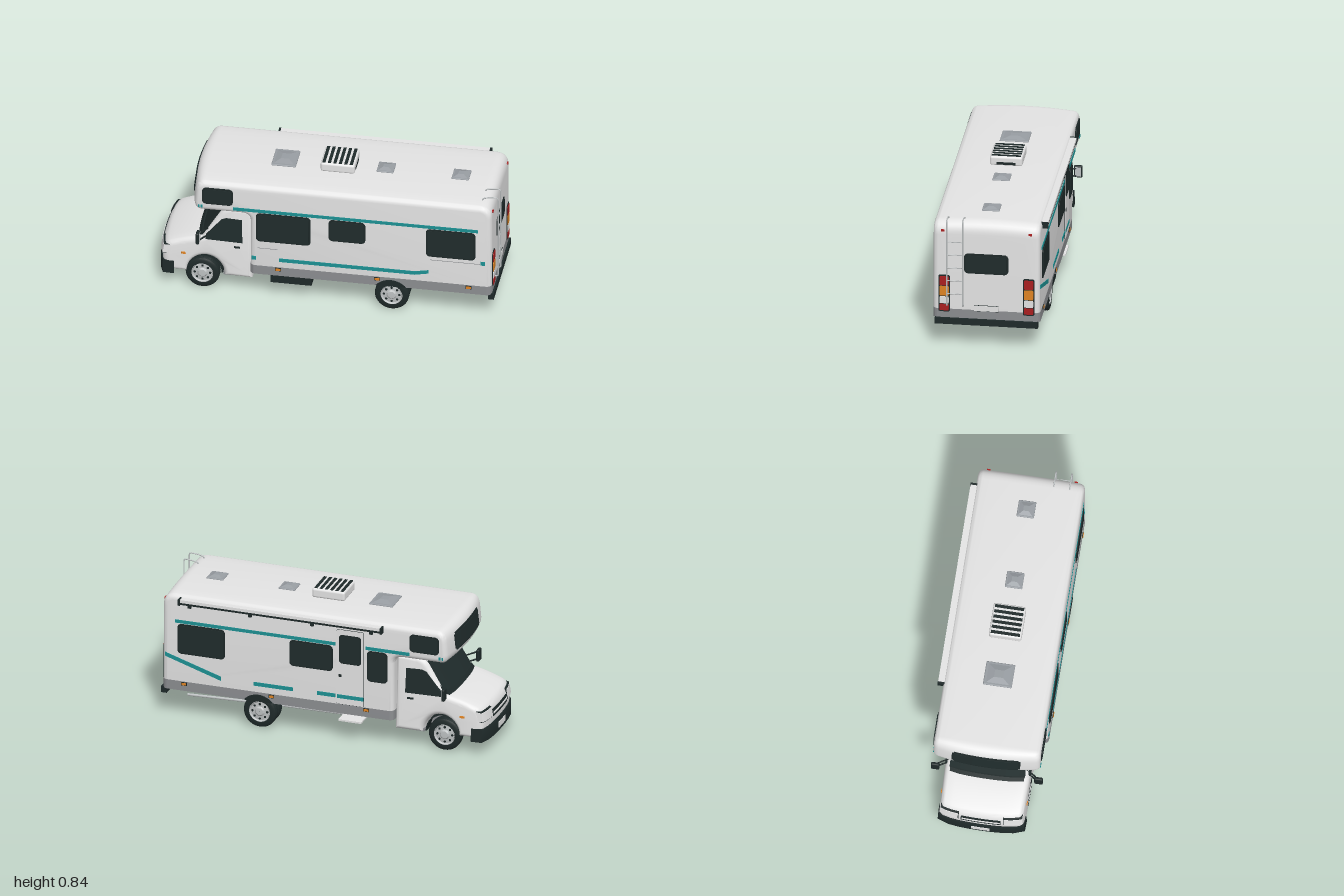
import * as THREE from 'three';
import { toCreasedNormals } from 'three/addons/utils/BufferGeometryUtils.js';
import { RoundedBoxGeometry } from 'three/addons/geometries/RoundedBoxGeometry.js';

const mat = (name, color) => Object.assign(new THREE.MeshStandardMaterial({ color }), { name });
const M = {
  white: mat('white shell', 0xe4e4e4), grey: mat('grey skirt', 0x8c8e91), dark: mat('dark trim', 0x1e2929),
  glass: mat('tinted glass', 0x202c2c), teal: mat('teal stripe', 0x1d9294), red: mat('red lamp', 0xab1f20),
  orange: mat('orange lamp', 0xe08424), chrome: mat('bright metal', 0xbec2c3), vent: mat('vent grey', 0x989da2),
};
const W = 0.311, CAB = 0.272;   // half widths of the living box and the cab

export function createModel() {
  const root = new THREE.Group(); root.name = 'motorhome';
  const van = new THREE.Group(); van.name = 'vehicle'; van.position.z = 0.01; root.add(van);

  const add = (name, geo, m, parent = van) => {
    const mesh = new THREE.Mesh(geo, M[m]); mesh.name = name; parent.add(mesh); return mesh;
  };
  // box given by its low and high corners
  const box = (name, m, x0, x1, y0, y1, z0, z1, r = 0) => {
    const s = [x1 - x0, y1 - y0, z1 - z0];
    const mesh = add(name, r ? new RoundedBoxGeometry(...s, 3, r) : new THREE.BoxGeometry(...s), m);
    mesh.position.set((x0 + x1) / 2, (y0 + y1) / 2, (z0 + z1) / 2); return mesh;
  };
  const poly = pts => new THREE.Shape(pts.map(p => new THREE.Vector2(...p)));
  const roundRect = (x0, x1, y0, y1, r) => {
    const s = new THREE.Shape();
    s.absarc(x1 - r, y1 - r, r, 0, Math.PI / 2); s.absarc(x0 + r, y1 - r, r, Math.PI / 2, Math.PI);
    s.absarc(x0 + r, y0 + r, r, Math.PI, Math.PI * 1.5); s.absarc(x1 - r, y0 + r, r, Math.PI * 1.5, Math.PI * 2);
    return s;
  };
  // side profile spanning z0..z1, with rounded outer edges and an optional bend
  const prism = (shape, z0, z1, bevel = 0, bend = null, steps = 10) => {
    const g = new THREE.ExtrudeGeometry(shape, {
      depth: z1 - z0 - 2 * bevel, steps, curveSegments: 8, bevelEnabled: bevel > 0,
      bevelSize: bevel, bevelThickness: bevel, bevelOffset: -bevel, bevelSegments: 5,
    });
    g.translate(0, 0, z0 + bevel);
    if (bend) {
      const p = g.attributes.position;
      for (let i = 0; i < p.count; i++) p.setXYZ(i, ...bend(p.getX(i), p.getY(i), p.getZ(i)));
    }
    return toCreasedNormals(g, 0.6);
  };
  // thin plate on a side wall
  const plate = (name, m, shape, side, d = 0.003) => {
    const z = side > 0 ? W - 0.002 : -W - d;
    return add(name, prism(shape, z, z + d + 0.002, 0, null, 1), m);
  };
  const rect = (x0, x1, y0, y1) => poly([[x0, y0], [x1, y0], [x1, y1], [x0, y1]]);
  const sideWindow = (x0, x1, y0, y1, side) => {
    plate('windowFrame', 'dark', roundRect(x0, x1, y0, y1, 0.025), side, 0.004);
    plate('windowGlass', 'glass', roundRect(x0 + 0.01, x1 - 0.01, y0 + 0.01, y1 - 0.01, 0.018), side, 0.007);
  };
  // plate on the rear wall, its first axis running along -z
  const REAR = 0.967;
  const rearPlate = (name, m, z0, z1, y0, y1, r, d = 0.004) => {
    const mesh = add(name, prism(roundRect(z0, z1, y0, y1, r), -0.004, d, 0, null, 1), m);
    mesh.rotation.y = Math.PI / 2; mesh.position.x = REAR;
  };
  const tube = (name, m, pts, r, n = 40) => add(name, new THREE.TubeGeometry(
    new THREE.CatmullRomCurve3(pts.map(p => new THREE.Vector3(...p)), false, 'catmullrom', 0.15), n, r, 8), m);

  // Living box with sleeping alcove: crowned roof, bowed front
  const b = new THREE.Shape();
  b.moveTo(-0.445, 0.185); b.lineTo(-0.445, 0.53); b.quadraticCurveTo(-0.447, 0.573, -0.5, 0.573);
  b.lineTo(-0.745, 0.573); b.quadraticCurveTo(-0.802, 0.573, -0.802, 0.63);
  b.lineTo(-0.792, 0.71); b.quadraticCurveTo(-0.785, 0.78, -0.715, 0.78);
  b.lineTo(0.89, 0.78); b.quadraticCurveTo(0.967, 0.78, 0.967, 0.70); b.lineTo(0.967, 0.185);
  const { clamp } = THREE.MathUtils;
  const crown = (x, y, z) => [x + 0.35 * z * z * clamp((-0.7 - x) / 0.1, 0, 1), y - 0.12 * z * z * clamp((y - 0.6) / 0.15, 0, 1), z];
  add('livingBox', prism(b, -W, W, 0.03, crown), 'white');
  const skirt = add('skirt', prism(roundRect(-0.446, 0.968, -W - 0.001, W + 0.001, 0.03), 0.172, 0.23, 0, null, 1), 'grey');
  skirt.rotation.x = -Math.PI / 2;

  // Cab, narrowing towards nose and roof, with a bowed front
  const taper = (x, y, z) => {
    const t = (-0.445 - x) / 0.55;
    const w = z * (1 - 0.08 * t) * (1 - 0.23 * (y - 0.105));
    return [x + (0.25 * w ** 2 + 70 * w ** 6) * clamp(t * 1.5, 0, 1), y, w];
  };
  const c = new THREE.Shape();
  c.moveTo(-0.985, 0.105); c.lineTo(-0.99, 0.2); c.quadraticCurveTo(-0.988, 0.275, -0.945, 0.292);
  c.quadraticCurveTo(-0.85, 0.33, -0.755, 0.345); c.lineTo(-0.645, 0.515);
  c.quadraticCurveTo(-0.615, 0.558, -0.56, 0.56); c.lineTo(-0.44, 0.56); c.lineTo(-0.44, 0.105);
  c.lineTo(-0.617, 0.105); c.absarc(-0.735, 0.105, 0.118, 0, Math.PI, false);
  add('cab', prism(c, -CAB, CAB, 0.028, taper), 'white');
  const cabPart = (name, m, shape, z0, z1) => add(name, prism(shape, z0, z1, 0, taper, 8), m);
  cabPart('windshield', 'glass', poly([[-0.752, 0.355], [-0.74, 0.355], [-0.625, 0.532], [-0.637, 0.535]]), -0.245, 0.245);
  cabPart('wiperCowl', 'dark', poly([[-0.775, 0.34], [-0.745, 0.345], [-0.745, 0.362], [-0.755, 0.362]]), -0.24, 0.24);
  cabPart('bumper', 'dark', poly([[-1, 0.085], [-0.935, 0.085], [-0.935, 0.165], [-0.995, 0.165], [-1, 0.155]]), -0.276, 0.276);
  cabPart('grille', 'dark', poly([[-0.994, 0.2], [-0.97, 0.2], [-0.97, 0.242], [-0.989, 0.242]]), -0.13, 0.13);
  cabPart('grilleBar', 'white', rect(-0.996, -0.98, 0.217, 0.226), -0.125, 0.125);
  cabPart('frontPlate', 'white', rect(-1.003, -0.99, 0.105, 0.14), -0.06, 0.06);
  // underside of the cab, split around the wheel wells
  box('cabFloor', 'grey', -0.94, -0.43, 0.1, 0.24, -0.16, 0.16);
  box('noseFloor', 'grey', -0.955, -0.86, 0.102, 0.12, -0.22, 0.22);
  box('footwellFloor', 'grey', -0.612, -0.445, 0.102, 0.12, -0.245, 0.245);
  const liner = new THREE.Shape();
  liner.absarc(-0.735, 0.105, 0.119, 0, Math.PI, false); liner.absarc(-0.735, 0.105, 0.112, Math.PI, 0, true);
  add('frontWheelWell', prism(liner, -0.235, 0.235, 0, null, 1), 'dark');
  for (const s of [1, -1]) {
    const span = (a, z) => s > 0 ? [a, z] : [-z, -a];
    cabPart('headlightFrame', 'dark', poly([[-0.993, 0.206], [-0.945, 0.21], [-0.945, 0.272], [-0.984, 0.268]]), ...span(0.145, 0.268));
    cabPart('headlight', 'white', poly([[-0.997, 0.211], [-0.949, 0.215], [-0.949, 0.267], [-0.988, 0.263]]), ...span(0.15, 0.271));
    cabPart('cabWindow', 'glass', poly([[-0.742, 0.337], [-0.505, 0.337], [-0.508, 0.488], [-0.61, 0.49], [-0.64, 0.478], [-0.735, 0.365]]),
      ...span(CAB - 0.01, CAB + 0.004));
    cabPart('cabHandle', 'dark', rect(-0.56, -0.52, 0.3, 0.31), ...span(CAB - 0.005, CAB + 0.006));
    cabPart('sideMarker', 'orange', rect(-0.89, -0.865, 0.222, 0.234), ...span(CAB - 0.005, CAB + 0.005));
    // door mirrors
    box('mirror', 'dark', -0.762, -0.742, 0.342, 0.416, s * 0.302 - 0.025, s * 0.302 + 0.025, 0.008);
    box('mirrorGlass', 'chrome', -0.743, -0.74, 0.35, 0.408, s * 0.302 - 0.018, s * 0.302 + 0.018);
    for (const y of [0.355, 0.4]) tube('mirrorArm', 'dark', [[-0.7, y, s * 0.22], [-0.75, y, s * 0.3]], 0.005, 2);
  }

  // Side windows, stripes and lamps
  [[-0.41, -0.09, 0.4, 0.592, 1], [0.015, 0.23, 0.448, 0.592, 1], [-0.075, 0.19, 0.43, 0.592, -1],
    [-0.41, -0.285, 0.4, 0.592, -1]].forEach(a => sideWindow(...a));
  for (const s of [1, -1]) {
    sideWindow(0.585, 0.875, 0.405, 0.592, s);
    sideWindow(-0.725, -0.545, 0.625, 0.735, s);
    for (const x of [-0.75, -0.733]) plate('alcoveTick', 'teal', rect(x, x + 0.01, 0.597, 0.614), s);
    for (const x of [-0.28, 0.3, 0.835]) {
      plate('markerBase', 'dark', rect(x - 0.017, x + 0.017, 0.206, 0.226), s, 0.005);
      plate('markerLamp', 'orange', rect(x - 0.014, x + 0.014, 0.209, 0.223), s, 0.008);
    }
    // dark rear wheel arch
    const arch = new THREE.Shape(); arch.absarc(0.38, 0.1, 0.115, 0.68, Math.PI - 0.68);
    plate('wheelArch', 'dark', arch, s, 0.004);
  }
  plate('upperStripe', 'teal', rect(-0.545, 0.89, 0.596, 0.616), 1);
  plate('lowerStripe', 'teal', poly([[-0.275, 0.269], [0.52, 0.269], [0.6, 0.286], [0.6, 0.308], [0.52, 0.292], [-0.275, 0.292]]), 1);
  plate('stripeEnd', 'teal', rect(-0.435, -0.41, 0.269, 0.292), 1);
  plate('stripeEnd', 'teal', rect(0.905, 0.93, 0.375, 0.4), 1);
  plate('rearLockerSeam', 'grey', rect(0.61, 0.9, 0.379, 0.382), 1, 0.001);
  plate('frontLockerSeam', 'grey', rect(-0.4, -0.285, 0.35, 0.353), 1, 0.001);
  plate('upperStripe', 'teal', rect(-0.09, 0.89, 0.596, 0.616), -1);
  plate('upperStripe', 'teal', rect(-0.545, -0.275, 0.596, 0.616), -1);
  plate('diagonalStripe', 'teal', poly([[0.61, 0.269], [0.95, 0.378], [0.95, 0.402], [0.61, 0.295]]), -1);
  for (const [x0, x1] of [[0.17, 0.41], [-0.09, 0.02]]) plate('lowerStripe', 'teal', rect(x0, x1, 0.269, 0.292), -1);

  // Entrance door with step
  plate('doorGap', 'dark', roundRect(-0.267, -0.098, 0.231, 0.702, 0.012), -1, 0.002);
  plate('door', 'white', roundRect(-0.265, -0.1, 0.233, 0.7, 0.011), -1, 0.004);
  plate('doorStripe', 'teal', rect(-0.263, -0.102, 0.269, 0.292), -1, 0.006);
  plate('doorWindowFrame', 'dark', roundRect(-0.25, -0.115, 0.49, 0.67, 0.02), -1, 0.007);
  plate('doorWindow', 'glass', roundRect(-0.242, -0.123, 0.498, 0.662, 0.015), -1, 0.009);
  plate('doorHandle', 'dark', rect(-0.13, -0.112, 0.405, 0.42), -1, 0.008);
  box('doorStep', 'white', -0.25, -0.11, 0.124, 0.134, -0.315, -0.2);

  // Awning roll
  box('awningCover', 'white', -0.375, 0.85, 0.738, 0.756, -0.343, -0.3);
  box('awningRoll', 'dark', -0.375, 0.85, 0.725, 0.739, -0.341, -0.3);
  for (const x of [-0.385, 0.85]) box('awningCap', 'dark', x, x + 0.012, 0.72, 0.757, -0.345, -0.3);
  for (const x of [-0.32, 0.04, 0.42, 0.79]) box('awningBracket', 'dark', x, x + 0.02, 0.7, 0.73, -0.322, -0.305);

  // Alcove front window, following the bowed wall
  const pane = (name, m, out, y0, y1, z) => {
    const at = y => -0.802 + (y - 0.63) * 0.125 - out;
    add(name, prism(poly([[at(y0), y0], [at(y0) + 0.015, y0], [at(y1) + 0.015, y1], [at(y1), y1]]), -z, z, 0, crown), m);
  };
  pane('alcoveFrame', 'dark', 0.003, 0.622, 0.733, 0.188);
  pane('alcoveFrameEnds', 'dark', 0.003, 0.634, 0.721, 0.2);
  pane('alcoveGlass', 'glass', 0.006, 0.634, 0.721, 0.188);

  // Rear wall
  rearPlate('rearWindowFrame', 'dark', -0.13, 0.128, 0.46, 0.584, 0.025);
  rearPlate('rearWindow', 'glass', -0.118, 0.116, 0.472, 0.572, 0.018, 0.007);
  rearPlate('numberPlateEdge', 'dark', -0.073, 0.071, 0.224, 0.261, 0.002, 0.003);
  rearPlate('numberPlate', 'white', -0.071, 0.069, 0.226, 0.259, 0.002, 0.005);
  for (const s of [1, -1]) {
    const z = s * 0.246;
    rearPlate('tailLampBase', 'dark', z - 0.034, z + 0.034, 0.213, 0.442, 0.012);
    for (const [m, y0, y1] of [['red', 0.378, 0.434], ['orange', 0.313, 0.373], ['white', 0.265, 0.308], ['red', 0.221, 0.26]])
      rearPlate('tailLamp', m, z - 0.027, z + 0.027, y0, y1, 0.006, 0.008);
    rearPlate('topMarker', 'red', s * 0.255 - 0.01, s * 0.255 + 0.01, 0.715, 0.726, 0.002);
  }
  box('rearBumper', 'dark', 0.945, 0.98, 0.138, 0.176, -0.3, 0.3);

  // Ladder
  for (const z of [0.135, 0.228]) tube('ladderRail', 'chrome', [[0.9, 0.77, z], [0.91, 0.785, z], [0.935, 0.791, z], [0.98, 0.795, z],
    [0.993, 0.78, z], [0.993, 0.5, z], [0.993, 0.268, z], [0.985, 0.257, z], [0.96, 0.256, z]], 0.004, 80);
  for (const y of [0.335, 0.417, 0.498, 0.58, 0.66]) tube('ladderRung', 'chrome', [[0.993, y, 0.135], [0.993, y, 0.228]], 0.003, 2);

  // Roof hatches and air conditioner
  for (const [x, hx, hz] of [[-0.288, 0.072, 0.084], [0.3, 0.05, 0.051], [0.74, 0.051, 0.051]]) {
    box('hatchBase', 'vent', x - hx, x + hx, 0.77, 0.787, -hz, hz, 0.006);
    const g = new THREE.CylinderGeometry(0.25, Math.SQRT1_2, 0.012, 4, 1);
    g.rotateY(Math.PI / 4); g.scale(hx * 1.8, 1, hz * 1.8);
    add('hatchLid', toCreasedNormals(g, 0.1), 'vent').position.set(x, 0.791, 0);
  }
  box('airConditioner', 'white', -0.07, 0.13, 0.775, 0.834, -0.095, 0.095, 0.014);
  box('airOutlet', 'dark', 0.12, 0.132, 0.785, 0.8, -0.055, 0.055);
  for (let i = 0; i < 6; i++) box('airSlot', 'dark', -0.06 + i * 0.032, -0.042 + i * 0.032, 0.828, 0.836, -0.085, 0.085);

  // Chassis
  for (const s of [1, -1]) box('chassisRail', 'dark', -0.45, 0.89, 0.122, 0.175, s * 0.127 - 0.01, s * 0.127 + 0.01);
  box('tank', 'dark', -0.33, -0.09, 0.102, 0.175, 0.1, 0.28);
  box('rearAxle', 'dark', 0.36, 0.4, 0.08, 0.118, -0.2, 0.2);
  box('frontAxle', 'dark', -0.75, -0.72, 0.085, 0.115, -0.2, 0.2);
  tube('exhaust', 'chrome', [[-0.09, 0.1, -0.155], [0.3, 0.096, -0.155], [0.86, 0.09, -0.178]], 0.008);

  // Wheels: grooved tyre, dished rim with round holes
  const wheel = (x, z, s, width) => {
    const g = new THREE.Group(); g.name = 'wheel'; g.position.set(x, 0.1, z); g.rotation.x = s * Math.PI / 2; van.add(g);
    const h = width / 2, lathe = pts => toCreasedNormals(new THREE.LatheGeometry(pts.map(p => new THREE.Vector2(...p)), 36), 0.6);
    add('tyre', lathe([[0.064, -h], [0.085, -h], [0.096, -h * 0.8], [0.1, -h * 0.5], [0.097, -h * 0.3], [0.1, -h * 0.15], [0.1, h * 0.15],
      [0.097, h * 0.3], [0.1, h * 0.5], [0.096, h * 0.8], [0.085, h], [0.064, h], [0.062, h * 0.6]]), 'dark', g);
    add('rim', lathe([[0.001, -h * 0.6], [0.064, -h * 0.6], [0.067, h * 0.95], [0.062, h], [0.056, h * 0.7], [0.03, h * 0.8], [0.022, h * 1.05], [0.001, h * 1.08]]), 'chrome', g);
    for (let i = 0; i < 8; i++) {
      const a = i * Math.PI / 4;
      add('rimHole', new THREE.CylinderGeometry(0.007, 0.007, 0.004, 12), 'dark', g).position.set(Math.cos(a) * 0.045, h * 0.76, Math.sin(a) * 0.045);
    }
  };
  for (const s of [1, -1]) {
    wheel(-0.735, s * 0.215, s, 0.066);
    wheel(0.38, s * 0.265, s, 0.056);
    wheel(0.38, s * 0.201, s, 0.056);
  }
  return root;
}
